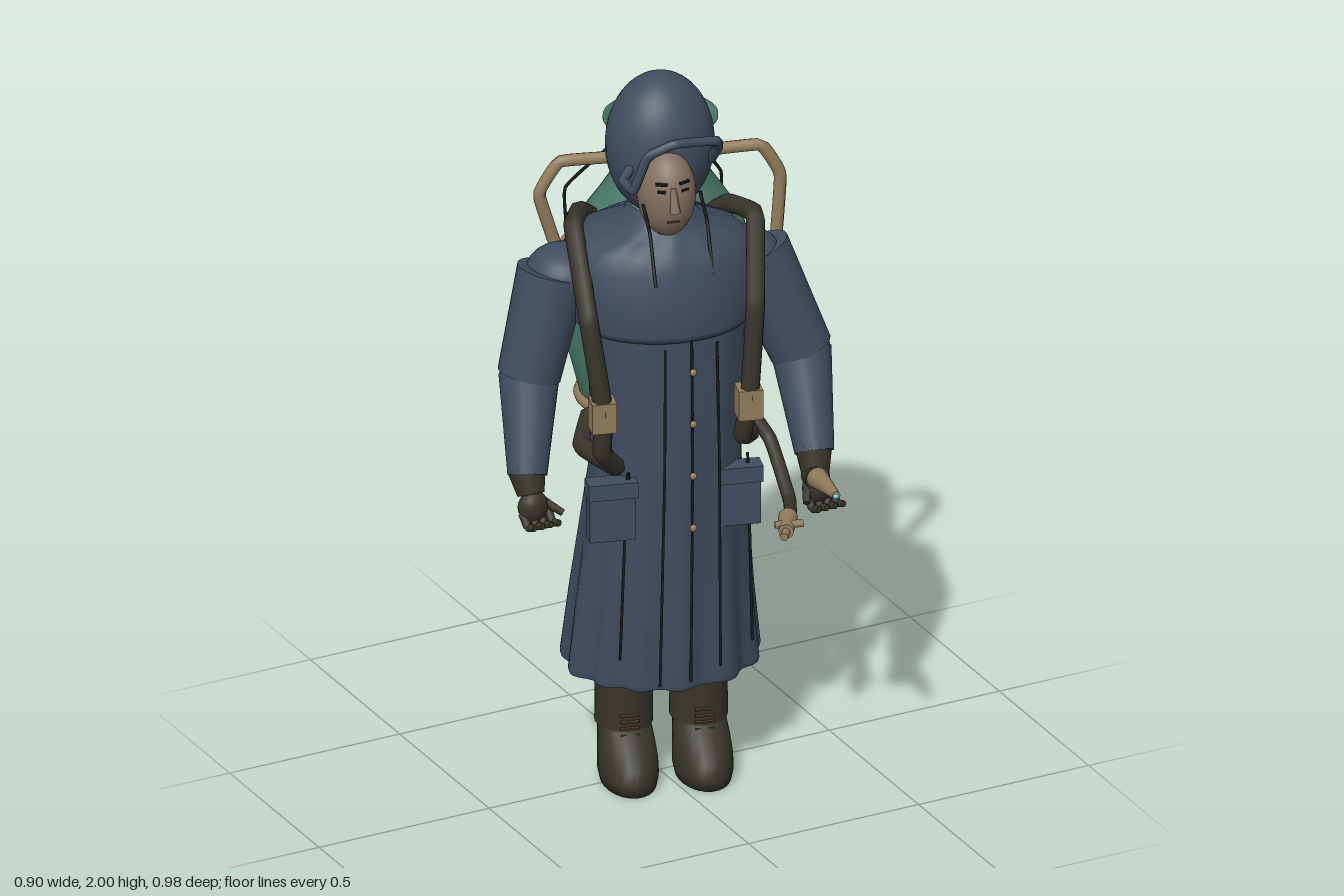
import * as THREE from 'three';

const mat = (name, color, double) => {
  const m = new THREE.MeshStandardMaterial({ color });
  m.name = name;
  if (double) m.side = THREE.DoubleSide;
  return m;
};
const TURN = -0.28; // the whole figure is turned slightly to its right
const V = (p) => new THREE.Vector3(...p);

// Skin through elliptical rings [y, cx, cz, rx, rz, foldDepth], turned by TURN
function loft(rings, n = 32, folds = 13) {
  const pos = [], idx = [], c = Math.cos(TURN), s = Math.sin(TURN);
  rings.forEach(([y, cx, cz, rx, rz, f = 0], i) => {
    for (let j = 0; j < n; j++) {
      const a = (j / n) * Math.PI * 2, k = 1 + f * Math.cos(a * folds + Math.sin(a * 3));
      const u = rx * k * Math.cos(a), w = rz * k * Math.sin(a);
      pos.push(cx + u * c + w * s, y, cz - u * s + w * c);
      if (i) {
        const p = (i - 1) * n + j, q = (i - 1) * n + ((j + 1) % n);
        idx.push(p, p + n, q, q, p + n, q + n);
      }
    }
  });
  const g = new THREE.BufferGeometry();
  g.setAttribute('position', new THREE.Float32BufferAttribute(pos, 3));
  g.setIndex(idx);
  g.computeVertexNormals();
  return g;
}

// Polyline pipe with slightly rounded bends
function pipe(points, r, sides = 8) {
  const path = new THREE.CatmullRomCurve3(points.map(V), false, 'catmullrom', 0.15);
  return new THREE.TubeGeometry(path, points.length * 7, r, sides);
}

// Tapered cylinder between two points
function limb(a, b, ra, rb, sides = 16) {
  const A = V(a), B = V(b), d = B.clone().sub(A);
  const g = new THREE.CylinderGeometry(rb, ra, d.length(), sides);
  g.applyQuaternion(new THREE.Quaternion().setFromUnitVectors(new THREE.Vector3(0, 1, 0), d.clone().normalize()));
  const m = A.add(B).multiplyScalar(0.5);
  return g.translate(m.x, m.y, m.z);
}

const ball = (p, rx, ry = rx, rz = rx, n = 24) =>
  new THREE.SphereGeometry(1, n, Math.ceil(n * 0.7)).scale(rx, ry, rz).translate(...p);
const box = (p, w, h, d, turn = TURN) => new THREE.BoxGeometry(w, h, d).rotateY(turn).translate(...p);

export function createModel() {
  const root = new THREE.Group();
  root.name = 'figure';
  const coat = mat('coat blue', 0x414d60, true), green = mat('tank green', 0x4b7a6a, true);
  const tan = mat('brass tan', 0x937d5c, true), leather = mat('dark leather', 0x38352b, true);
  const cyan = mat('glowing cyan', 0x64d6ec, true), skin = mat('skin', 0x847060);
  const black = mat('black', 0x191b1c, true), brown = mat('rust brown', 0x553c2c, true);
  const add = (name, geo, m, parent = root) => {
    const mesh = new THREE.Mesh(geo, m);
    mesh.name = name;
    parent.add(mesh);
    return mesh;
  };

  // Boots
  for (const [name, x, z] of [['leftBoot', 0.108, 0.015], ['rightBoot', -0.083, -0.04]]) {
    const s = (d) => [x + d * Math.sin(TURN), z + d * Math.cos(TURN)];
    add(name, loft([
      [0, ...s(0.055), 0.001, 0.001], [0, ...s(0.055), 0.072, 0.12], [0.03, ...s(0.055), 0.078, 0.128],
      [0.07, ...s(0.05), 0.077, 0.12], [0.11, ...s(0.03), 0.074, 0.1], [0.145, ...s(0.005), 0.07, 0.078],
      [0.15, ...s(0), 0.077, 0.077], [0.45, ...s(0), 0.073, 0.075]], 24), leather);
    for (let i = 0; i < 4; i++) {
      const [lx, lz] = s(0.08);
      add('lace', box([lx, 0.14 + i * 0.018, lz], 0.05, 0.004, 0.012), brown);
    }
  }

  // Long coat with a folded skirt, and the wide yoke over the shoulders
  add('coatSkirt', loft([
    [0.3, 0.03, -0.05, 0.25, 0.21, 0.045], [0.315, 0.03, -0.05, 0.255, 0.215, 0.045],
    [0.5, 0.025, -0.035, 0.238, 0.2, 0.035], [0.7, 0.02, -0.01, 0.222, 0.18, 0.02],
    [0.9, 0.01, 0.015, 0.2, 0.16, 0.01], [1.02, 0.01, 0.022, 0.197, 0.155, 0.012],
    [1.2, 0.01, 0.02, 0.205, 0.158, 0.012], [1.36, 0.01, 0.01, 0.215, 0.165, 0]], 78), coat);
  add('coatYoke', loft([
    [1.335, 0.01, 0.01, 0.2, 0.15], [1.315, 0.01, 0.005, 0.225, 0.175], [1.335, 0.01, -0.005, 0.245, 0.195],
    [1.42, 0.01, -0.022, 0.26, 0.207], [1.5, 0.01, -0.03, 0.255, 0.2], [1.545, 0.01, -0.03, 0.22, 0.18, 0.02],
    [1.575, 0.01, -0.02, 0.15, 0.145, 0.03], [1.6, 0.01, -0.01, 0.105, 0.11], [1.64, 0.01, -0.01, 0.08, 0.085]], 48), coat);
  add('sidePatch', ball([0.232, 0.685, -0.02], 0.014, 0.028, 0.024, 8), leather);

  // Seams, cords and buttons down the front
  for (const [x, z, top, low] of [[-0.085, 0.172, 1.3, 0.33], [0, 0.183, 1.32, 0.33], [0.085, 0.187, 1.3, 0.36],
    [-0.17, 0.11, 0.88, 0.4], [0.19, 0.165, 0.78, 0.4]])
    add('seam', pipe([[x * 0.85, top, z], [x * 0.9, 0.95, z + 0.005], [x, low, z - 0.005]], 0.004, 6), black);
  for (const y of [0.78, 0.93, 1.08, 1.23]) add('button', ball([0, y, 0.192], 0.01, 0.01, 0.008, 10), tan);
  for (const [x, z] of [[-0.192, 0.095], [0.142, 0.16]]) {
    add('pocket', box([x, 0.83, z], 0.122, 0.15, 0.05), coat);
    add('pocketFlap', box([x, 0.9, z + 0.004], 0.132, 0.045, 0.056), coat);
  }

  // Arms, gloves and fingers
  const arms = [
    ['left', [0.263, 1.46, 0.03], [0.362, 1.18, 0.105], [0.328, 0.95, 0.245], [0.318, 0.865, 0.28]],
    ['right', [-0.26, 1.46, -0.1], [-0.335, 1.18, -0.09], [-0.398, 0.95, 0.02], [-0.4, 0.875, 0.055]]];
  for (const [side, sh, el, wr, hand] of arms) {
    add(side + 'Shoulder', ball([sh[0] * 0.88, sh[1] - 0.01, sh[2]], 0.1, 0.075, 0.1), coat);
    add(side + 'UpperSleeve', limb(sh, el, 0.095, 0.084, 20), coat);
    add(side + 'Elbow', ball(el, 0.078), coat);
    add(side + 'LowerSleeve', limb(el, wr, 0.08, 0.052, 20), coat);
    add(side + 'GloveCuff', limb([wr[0], wr[1] + 0.015, wr[2] - 0.006], [hand[0], hand[1] + 0.03, hand[2] - 0.01], 0.05, 0.036), leather);
    add(side + 'Palm', ball(hand, 0.042, 0.045, 0.032, 14), leather);
    for (let i = 0; i < 4; i++) {
      const x = hand[0] - 0.03 + i * 0.024, y = hand[1] - 0.025;
      const knuckle = [x + 0.004, y - 0.022, hand[2] + 0.022];
      add(side + 'Finger', limb([x, y + 0.01, hand[2]], knuckle, 0.012, 0.011, 8), leather);
      add(side + 'FingerTip', limb(knuckle, [x + 0.012, y - 0.016, hand[2] + 0.045], 0.011, 0.009, 8), leather);
    }
    add(side + 'Thumb', limb([hand[0] + (side === 'left' ? -0.03 : 0.03), hand[1] + 0.01, hand[2]],
      [hand[0] + (side === 'left' ? -0.05 : 0.07), hand[1] - 0.02, hand[2] + 0.035], 0.013, 0.01, 8), leather);
  }

  // Hood, face and raised visor frame
  add('hood', ball([0.015, 1.803, -0.025], 0.145, 0.197, 0.137, 32), coat);
  add('face', ball([-0.024, 1.715, 0.085], 0.075, 0.122, 0.088), skin);
  const head = new THREE.Group();
  head.name = 'faceDetails';
  head.position.set(-0.027, 1.715, 0.085);
  head.rotation.y = -0.2;
  root.add(head);
  add('nose', limb([0, 0.045, 0.078], [0, -0.02, 0.094], 0.007, 0.015, 8), skin, head);
  add('mouth', box([0, -0.052, 0.078], 0.032, 0.004, 0.008, 0), brown, head);
  for (const s of [-1, 1]) {
    add('eye', box([s * 0.031, 0.036, 0.076], 0.022, 0.006, 0.008, s * 0.4), black, head);
    add('brow', box([s * 0.031, 0.056, 0.072], 0.031, 0.006, 0.009, s * 0.4), black, head);
  }
  add('visorFrame', pipe([[0.115, 1.77, 0.07], [0.108, 1.83, 0.125], [0.068, 1.885, 0.19], [-0.055, 1.905, 0.195],
    [-0.12, 1.87, 0.165], [-0.146, 1.765, 0.135], [-0.138, 1.76, 0.06], [-0.105, 1.78, 0.04]], 0.013), coat);
  for (const x of [0.068, -0.1])
    add('chinCord', pipe([[x, 1.7, 0.1], [x + 0.01, 1.62, 0.12], [x, 1.49, 0.172]], 0.005, 6), black);

  // Shoulder straps with buckles
  add('leftStrap', pipe([[0.2, 1.5, -0.13], [0.235, 1.56, -0.06], [0.245, 1.58, 0.07], [0.165, 1.4, 0.225], [0.14, 1.15, 0.24],
    [0.135, 1.03, 0.21], [0.225, 0.96, 0.08], [0.235, 0.95, -0.06], [0.2, 0.96, -0.16]], 0.026), leather);
  add('rightStrap', pipe([[-0.07, 1.51, -0.26], [-0.13, 1.56, -0.2], [-0.21, 1.585, -0.08], [-0.26, 1.4, 0.1], [-0.235, 1.15, 0.135],
    [-0.23, 1.02, 0.12], [-0.17, 0.95, 0.08], [-0.19, 0.95, -0.07], [-0.1, 0.96, -0.2]], 0.026), leather);
  for (const [x, z] of [[0.14, 0.235], [-0.235, 0.13]]) add('buckle', box([x, 1.135, z], 0.065, 0.085, 0.06), tan);

  // Jar-shaped tank with open neck
  const tx = 0.13, tz = -0.25;
  const T = [[0.82, 0.001, 0.001], [0.82, 0.09, 0.08], [0.86, 0.125, 0.11], [0.92, 0.175, 0.15], [0.98, 0.21, 0.176],
    [1.1, 0.24, 0.193], [1.25, 0.252, 0.2], [1.37, 0.247, 0.196], [1.46, 0.22, 0.177], [1.54, 0.168, 0.142],
    [1.59, 0.134, 0.119], [1.64, 0.119, 0.109], [1.69, 0.12, 0.111], [1.73, 0.13, 0.121], [1.755, 0.151, 0.135],
    [1.765, 0.151, 0.135], [1.762, 0.14, 0.126], [1.735, 0.122, 0.113], [1.64, 0.108, 0.101], [1.54, 0.109, 0.102]];
  add('tank', loft(T.map(([y, rx, rz]) => [y, tx, tz + (y > 1.5 ? 0.01 : 0), rx, rz]), 40), green);
  const pack = new THREE.Group();
  pack.name = 'tankFittings';
  pack.position.set(tx, 0, tz);
  pack.rotation.y = TURN;
  root.add(pack);
  const disc = new THREE.CylinderGeometry(1, 1, 0.006, 32).scale(0.109, 1, 0.102).translate(0, 1.56, 0.01);
  add('liquid', disc, cyan, pack);
  const band = (name, y, rx, rz, r) => {
    const g = new THREE.TorusGeometry(1, r / rx, 8, 48).rotateX(Math.PI / 2).scale(rx, rx, rz);
    add(name, g.translate(0, y, y > 1.5 ? 0.01 : 0), tan, pack);
  };
  band('upperBand', 1.37, 0.256, 0.204, 0.016);
  band('lowerBand', 0.965, 0.208, 0.176, 0.016);
  band('neckBand', 1.74, 0.124, 0.115, 0.017);
  const foot = new THREE.TorusGeometry(0.082, 0.012, 8, 24).rotateX(Math.PI / 2).translate(0, 0.825, 0);
  add('tankFoot', foot, green, pack);
  add('leftHandle', pipe([[0.23, 1.65, -0.205], [0.385, 1.65, -0.165], [0.435, 1.56, -0.15], [0.42, 1.35, -0.15]], 0.017), tan);
  add('rightHandle', pipe([[0.02, 1.65, -0.275], [-0.125, 1.65, -0.318], [-0.178, 1.56, -0.333], [-0.12, 1.36, -0.32]], 0.017), tan);

  // Level gauge on the back of the tank
  add('gaugeFrame', box([0, 1.245, -0.2], 0.088, 0.48, 0.03, 0), black, pack);
  add('gaugeGlass', box([0, 1.245, -0.2185], 0.064, 0.455, 0.009, 0), cyan, pack);
  for (let i = 0; i < 7; i++) add('gaugeTick', box([0.024, 1.07 + i * 0.058, -0.224], 0.014, 0.005, 0.004, 0), black, pack);
  for (const s of [-1, 1])
    add('gaugeRail', pipe([[s * 0.05, 1.475, -0.2], [s * 0.05, 1.475, -0.231], [s * 0.05, 1.01, -0.231], [s * 0.05, 1.01, -0.2]], 0.005, 6), tan, pack);

  // Wires hanging from the neck, and rust streaks running down the jar
  [-2.42, -2.15, -1.98, -1.25, -1.1, -0.95, -0.8].forEach((a, i) => {
    const at = (r, y) => [r * Math.cos(a), y, r * 0.82 * Math.sin(a)];
    const long = i === 0 || i === 6;
    const pts = [at(0.125, 1.72), at(0.15, 1.64), at(long ? 0.29 : 0.19, long ? 1.49 : 1.56)];
    if (long) pts.push(at(0.268, 1.22));
    add('neckWire', pipe(pts, 0.0045, 6), black, pack);
    if (i !== 3) add('rustStreak', pipe([at(0.236, 1.42), at(0.249, 1.3), at(0.248, 1.2), at(0.237, 1.06 + 0.05 * (i % 3))], 0.004, 6), brown, pack);
  });

  // Hose with spigot, and the hand-held nozzle
  add('hose', pipe([[0.25, 0.98, -0.27], [0.34, 0.93, -0.24], [0.405, 0.8, -0.15], [0.378, 0.7, 0.01], [0.3, 0.725, 0.165]], 0.018), leather);
  add('spigot', limb([0.3, 0.727, 0.15], [0.25, 0.732, 0.235], 0.026, 0.02, 12), tan);
  add('spigotTip', limb([0.25, 0.732, 0.235], [0.23, 0.732, 0.262], 0.011, 0.011, 10), tan);
  add('spigotLever', limb([0.235, 0.74, 0.2], [0.305, 0.74, 0.225], 0.01, 0.01, 8), tan);
  add('nozzle', limb([0.31, 0.9, 0.29], [0.274, 0.932, 0.47], 0.03, 0.011, 16), tan);
  add('nozzleCollar', limb([0.316, 0.895, 0.26], [0.309, 0.901, 0.3], 0.034, 0.034, 16), leather);
  add('nozzleSpark', ball([0.265, 0.938, 0.485], 0.009, 0.007, 0.007, 10), cyan);
  return root;
}
